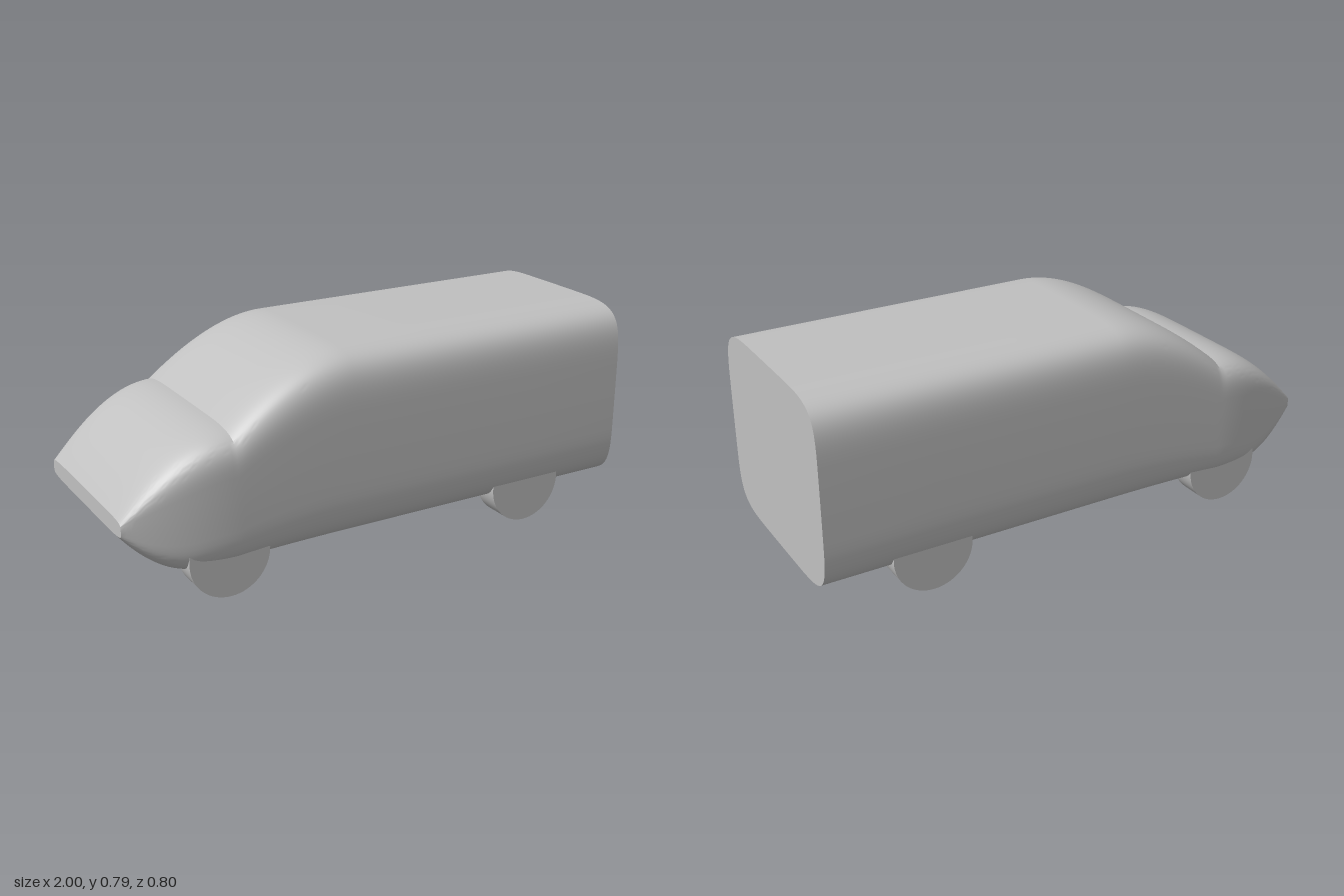
import * as THREE from 'three';
import { toCreasedNormals } from 'three/addons/utils/BufferGeometryUtils.js';

// value at x of the quadratic curve a -> b with control point c (points are [x, value])
function curveAt(x, a, c, b) {
  let lo = 0, hi = 1;
  const q = (t, k) => (1 - t) ** 2 * a[k] + 2 * t * (1 - t) * c[k] + t * t * b[k];
  for (let i = 0; i < 40; i++) {
    const mid = (lo + hi) / 2;
    if (q(mid, 0) < x) lo = mid; else hi = mid;
  }
  return q((lo + hi) / 2, 1);
}

const KINK = -0.61, ROOF = -0.16;

const topAt = (x) => x <= KINK
  ? curveAt(x, [-1, 0.335], [-0.8, 0.58], [KINK, 0.582])     // bonnet
  : curveAt(x, [KINK, 0.582], [-0.36, 0.79], [ROOF, 0.79]);  // windscreen, then roof
const bottomAt = (x) => curveAt(x, [-1, 0.27], [-0.87, 0.095], [-0.74, 0.095]);
const halfWidthAt = (x) => curveAt(x, [-1, 0.327], [-0.8, 0.4], [-0.6, 0.4]);

// body shell: squared-oval rings lofted along x, closed at both ends
function bodyGeometry() {
  const SIDES = 96, POWER = 6;
  const stations = [];
  for (let i = 0; i < 24; i++) stations.push(-1 + (KINK + 1) * i / 24);
  for (let i = 0; i <= 24; i++) stations.push(KINK + (ROOF - KINK) * i / 24);
  stations.push(0.2, 0.6, 1);

  const pos = [], index = [];
  const bend = (v) => Math.sign(v) * Math.abs(v) ** (2 / POWER);
  for (const x of stations) {
    const top = topAt(x), bottom = bottomAt(x), w = halfWidthAt(x);
    for (let j = 0; j < SIDES; j++) {
      const t = j / SIDES * Math.PI * 2;
      pos.push(x, (top + bottom) / 2 + (top - bottom) / 2 * bend(Math.sin(t)), w * bend(Math.cos(t)));
    }
  }
  const last = (stations.length - 1) * SIDES;
  const noseCentre = pos.length / 3, rearCentre = noseCentre + 1;
  pos.push(-1, (topAt(-1) + bottomAt(-1)) / 2, 0, 1, (topAt(1) + bottomAt(1)) / 2, 0);

  for (let j = 0; j < SIDES; j++) {
    const k = (j + 1) % SIDES;
    for (let r = 0; r < last; r += SIDES) {
      index.push(r + j, r + SIDES + j, r + SIDES + k, r + j, r + SIDES + k, r + k);
    }
    index.push(noseCentre, j, k, rearCentre, last + k, last + j);
  }
  const geo = new THREE.BufferGeometry();
  geo.setAttribute('position', new THREE.Float32BufferAttribute(pos, 3));
  geo.setIndex(index);
  return toCreasedNormals(geo, 0.5);
}

export function createModel() {
  const group = new THREE.Group();
  group.name = 'van';
  const grey = new THREE.MeshStandardMaterial({ color: 0xc0c0c0 });
  grey.name = 'grey';

  const body = new THREE.Mesh(bodyGeometry(), grey);
  body.name = 'body';
  group.add(body);

  // four wheels, half sunk into the body
  const wheelGeo = new THREE.CylinderGeometry(0.15, 0.15, 0.1, 64).rotateX(Math.PI / 2);
  for (const [end, x] of [['front', -0.64], ['rear', 0.6]]) {
    for (const side of [1, -1]) {
      const wheel = new THREE.Mesh(wheelGeo, grey);
      wheel.name = end + 'Wheel' + (side > 0 ? 'Near' : 'Far');
      wheel.position.set(x, 0.15, side * 0.33);
      group.add(wheel);
    }
  }
  return group;
}
